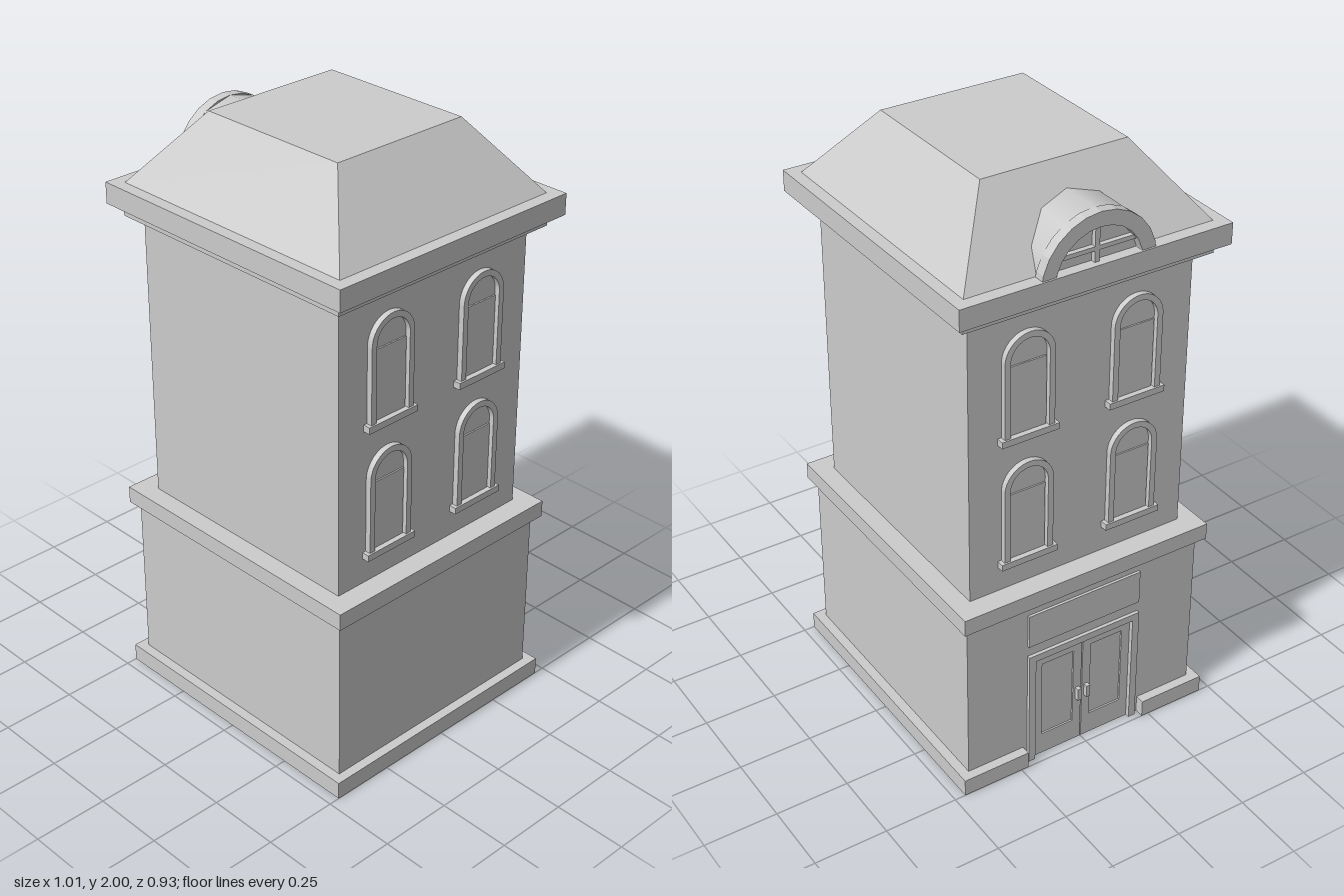
import * as THREE from 'three';

const mat = new THREE.MeshStandardMaterial({ color: 0xcccccc, side: THREE.DoubleSide });
const flat = new THREE.MeshStandardMaterial({ color: 0xcccccc, side: THREE.DoubleSide, flatShading: true });

function add(parent, name, geo, x = 0, y = 0, z = 0, material = mat) {
  const m = new THREE.Mesh(geo, material);
  m.name = name;
  m.position.set(x, y, z);
  parent.add(m);
  return m;
}

// box given by its centre in x and z and its bottom and top
function box(parent, name, w, d, y0, y1, x = 0, z = 0) {
  return add(parent, name, new THREE.BoxGeometry(w, y1 - y0, d), x, (y0 + y1) / 2, z);
}

// round-topped outline: half width r, straight from y0 up to the springing y1
function arch(r, y0, y1, Type = THREE.Shape) {
  const s = new Type();
  s.moveTo(-r, y0);
  s.lineTo(r, y0);
  s.lineTo(r, y1);
  s.absarc(0, y1, r, 0, Math.PI, false);
  s.lineTo(-r, y0);
  return s;
}

function extrude(shape, depth, curveSegments = 12) {
  return new THREE.ExtrudeGeometry(shape, { depth, bevelEnabled: false, curveSegments });
}

// arched window facing local +z, bottom of the sill at y = 0
function makeWindow() {
  const g = new THREE.Group();
  g.name = 'window';
  const frame = arch(0.087, 0.02, 0.273);
  frame.holes.push(arch(0.067, 0.02, 0.273, THREE.Path));
  add(g, 'windowFrame', extrude(frame, 0.02));
  add(g, 'windowPane', new THREE.ShapeGeometry(arch(0.067, 0.02, 0.273)), 0, 0, 0.003);
  box(g, 'windowSash', 0.128, 0.008, 0.02, 0.255, 0, 0.004);
  box(g, 'windowSill', 0.2, 0.026, 0, 0.022, 0, 0.013);
  return g;
}

// double door with frame, facing local +z, wall plane at z = 0
function makeDoor() {
  const g = new THREE.Group();
  g.name = 'entrance';
  const frame = new THREE.Shape();
  [[-0.21, 0], [-0.21, 0.43], [0.21, 0.43], [0.21, 0], [0.185, 0], [0.185, 0.405], [-0.185, 0.405], [-0.185, 0]]
    .forEach(([x, y], i) => (i ? frame.lineTo(x, y) : frame.moveTo(x, y)));
  add(g, 'doorFrame', extrude(frame, 0.03), 0, 0, -0.018);
  for (const s of [-1, 1]) {
    const leaf = new THREE.Shape();
    leaf.moveTo(-0.091, 0);
    leaf.lineTo(0.091, 0);
    leaf.lineTo(0.091, 0.405);
    leaf.lineTo(-0.091, 0.405);
    const glass = new THREE.Path();
    [[-0.06, 0.08], [-0.06, 0.37], [0.06, 0.37], [0.06, 0.08]]
      .forEach(([x, y], i) => (i ? glass.lineTo(x, y) : glass.moveTo(x, y)));
    leaf.holes.push(glass);
    add(g, 'doorLeaf', extrude(leaf, 0.012), s * 0.093, 0, -0.014);
    add(g, 'doorPanel', new THREE.PlaneGeometry(0.13, 0.3), s * 0.093, 0.225, -0.008);
    box(g, 'doorHandle', 0.014, 0.018, 0.17, 0.215, s * 0.017, 0.005);
  }
  box(g, 'signBoard', 0.42, 0.01, 0.47, 0.59, 0, 0.004);
  return g;
}

// half-round dormer facing local +z, front rim at z = 0
function makeDormer() {
  const g = new THREE.Group();
  g.name = 'dormer';
  const R = 0.197, r = 0.15;
  const hood = new THREE.CylinderGeometry(R, R, 0.24, 6, 1, true, -Math.PI / 2, Math.PI);
  hood.rotateX(-Math.PI / 2);
  add(g, 'dormerHood', hood, 0, 0, -0.12);
  const rim = new THREE.Shape();
  rim.absarc(0, 0, R, 0, Math.PI, false);
  rim.lineTo(-r, 0);
  rim.absarc(0, 0, r, Math.PI, 0, true);
  add(g, 'dormerRim', extrude(rim, 0.035, 6), 0, 0, -0.035);
  add(g, 'dormerPane', new THREE.CircleGeometry(r + 0.01, 12, 0, Math.PI), 0, 0, -0.03);
  box(g, 'dormerMullion', 0.016, 0.016, 0, r, 0, -0.022);
  box(g, 'dormerTransom', 2 * r - 0.03, 0.016, 0.07, 0.084, 0, -0.022).scale.x = 0.97;
  return g;
}

export function createModel() {
  const model = new THREE.Group();
  model.name = 'townHouse';

  // hollow ground floor, open underneath, with a doorway on the -x side
  const H = 0.635;
  for (const s of [-1, 1]) {
    const wall = add(model, 'groundFloorWall', new THREE.PlaneGeometry(0.936, H), 0, H / 2, s * 0.43);
    if (s < 0) wall.rotation.y = Math.PI;
  }
  add(model, 'groundFloorWall', new THREE.PlaneGeometry(0.86, H), 0.468, H / 2, 0).rotation.y = Math.PI / 2;
  const doorWall = new THREE.Shape();
  [[-0.43, 0], [-0.2, 0], [-0.2, 0.42], [0.2, 0.42], [0.2, 0], [0.43, 0], [0.43, H], [-0.43, H]]
    .forEach(([x, y], i) => (i ? doorWall.lineTo(x, y) : doorWall.moveTo(x, y)));
  add(model, 'doorwayWall', new THREE.ShapeGeometry(doorWall), -0.468).rotation.y = -Math.PI / 2;

  // plinth ring, broken at the doorway
  const ring = new THREE.Shape();
  [[-0.5, 0.225], [-0.5, 0.463], [0.5, 0.463], [0.5, -0.463], [-0.5, -0.463], [-0.5, -0.225],
    [-0.466, -0.225], [-0.466, -0.428], [0.466, -0.428], [0.466, 0.428], [-0.466, 0.428], [-0.466, 0.225]]
    .forEach(([x, y], i) => (i ? ring.lineTo(x, y) : ring.moveTo(x, y)));
  add(model, 'plinth', extrude(ring, 0.06).rotateX(-Math.PI / 2));

  // upper storeys and mouldings
  box(model, 'storeyBand', 0.99, 0.906, 0.635, 0.692);
  box(model, 'upperWalls', 0.844, 0.78, 0.692, 1.66);
  box(model, 'lowerCornice', 0.93, 0.864, 1.66, 1.697);
  box(model, 'upperCornice', 1.01, 0.93, 1.697, 1.767);

  // hipped roof with a flat top: a box drawn in towards its top
  const roof = new THREE.BoxGeometry(0.924, 0.233, 0.85);
  const p = roof.attributes.position;
  for (let i = 0; i < p.count; i++) {
    if (p.getY(i) > 0) p.setXYZ(i, Math.sign(p.getX(i)) * 0.272, p.getY(i), Math.sign(p.getZ(i)) * 0.25);
  }
  roof.computeVertexNormals();
  add(model, 'roof', roof, 0, 1.8835, 0, flat);

  // two rows of windows on both long sides
  for (const side of [-1, 1])
    for (const y of [0.78, 1.222])
      for (const z of [-0.19, 0.19]) {
        const w = makeWindow();
        w.position.set(side * 0.421, y, z);
        w.rotation.y = side * Math.PI / 2;
        model.add(w);
      }

  const door = makeDoor();
  door.position.set(-0.468, 0, 0);
  door.rotation.y = -Math.PI / 2;
  model.add(door);

  const dormer = makeDormer();
  dormer.position.set(-0.499, 1.733, 0);
  dormer.rotation.y = -Math.PI / 2;
  model.add(dormer);

  return model;
}
